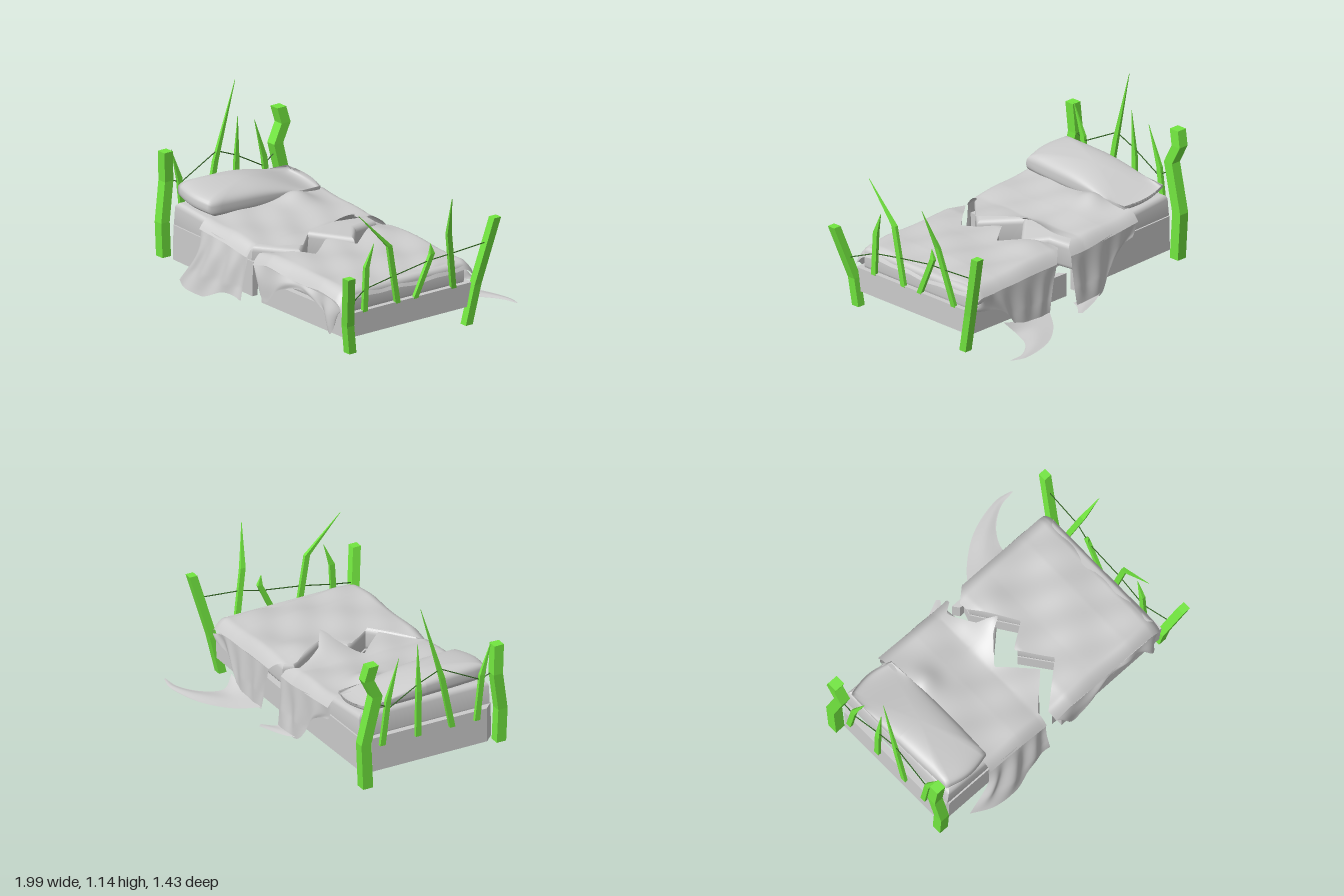
import * as THREE from 'three';
import { toCreasedNormals } from 'three/addons/utils/BufferGeometryUtils.js';

const grey = new THREE.MeshStandardMaterial({ color: 0xcccccc });
const clothMat = new THREE.MeshStandardMaterial({ color: 0xcccccc, side: THREE.DoubleSide });
const green = new THREE.MeshStandardMaterial({ color: 0x72e63f, flatShading: true });
const darkGreen = new THREE.MeshStandardMaterial({ color: 0x336622 });

const mesh = (name, geo, mat) => Object.assign(new THREE.Mesh(geo, mat), { name });
const bump = (x, z, cx, cz, r) => Math.exp(-((x - cx) ** 2 + (z - cz) ** 2) / (r * r));

// Piecewise linear lookup in [[t, value], ...]
function lookup(pts, t) {
  if (t <= pts[0][0]) return pts[0][1];
  for (let i = 1; i < pts.length; i++) {
    const [a, va] = pts[i - 1], [b, vb] = pts[i];
    if (t <= b) return va + (vb - va) * (t - a) / (b - a);
  }
  return pts[pts.length - 1][1];
}

// Smooth grid surface from a function of u, v in 0..1
function surface(nu, nv, fn) {
  const pos = [], idx = [];
  for (let j = 0; j <= nv; j++) for (let i = 0; i <= nu; i++) pos.push(...fn(i / nu, j / nv));
  for (let j = 0; j < nv; j++) for (let i = 0; i < nu; i++) {
    const a = j * (nu + 1) + i, b = a + nu + 1;
    idx.push(a, b, a + 1, b, b + 1, a + 1);
  }
  const g = new THREE.BufferGeometry();
  g.setAttribute('position', new THREE.Float32BufferAttribute(pos, 3));
  g.setIndex(idx);
  g.computeVertexNormals();
  return g;
}

// Hanging fabric through rows of control points, with soft folds growing downwards
function drape(name, rows, fold, waves) {
  const curves = rows.map(row => new THREE.CatmullRomCurve3(row.map(p => new THREE.Vector3(...p))));
  const geo = surface(48, 24, (u, v) => {
    const p = new THREE.CatmullRomCurve3(curves.map(c => c.getPoint(u))).getPoint(v);
    const y = Math.max(0.045, p.y);
    return [p.x, y, p.z + fold * Math.sin(u * waves * 6.28) * Math.sin(v * 2.2) * Math.min(1, (y - 0.04) * 8)];
  });
  return mesh(name, geo, clothMat);
}

// Flat outline in x, z raised between two heights
function slab(name, outline, y0, y1, bevel = 0) {
  const shape = new THREE.Shape(outline.map(p => new THREE.Vector2(...p)));
  const geo = new THREE.ExtrudeGeometry(shape, {
    depth: y1 - y0 - 2 * bevel, bevelEnabled: bevel > 0, bevelThickness: bevel,
    bevelSize: bevel, bevelOffset: -bevel, bevelSegments: 4,
  });
  geo.rotateX(Math.PI / 2).translate(0, y1 - bevel, 0);
  return mesh(name, toCreasedNormals(geo, 0.6), grey);
}

// Bent four-sided bar through points [x, y, z, half width x, half width z]
function bar(name, path) {
  const pos = [], idx = [], n = path.length;
  for (const [x, y, z, wx, wz = wx] of path)
    pos.push(x - wx, y, z - wz, x - wx, y, z + wz, x + wx, y, z + wz, x + wx, y, z - wz);
  for (let i = 0; i < n - 1; i++) for (let k = 0; k < 4; k++) {
    const a = i * 4 + k, b = i * 4 + (k + 1) % 4;
    idx.push(a, b, a + 4, b, b + 4, a + 4);
  }
  const t = (n - 1) * 4;
  idx.push(0, 2, 1, 0, 3, 2, t, t + 1, t + 2, t, t + 2, t + 3);
  const g = new THREE.BufferGeometry();
  g.setAttribute('position', new THREE.Float32BufferAttribute(pos, 3));
  g.setIndex(idx);
  const flat = g.toNonIndexed();
  flat.computeVertexNormals();
  return mesh(name, flat, green);
}

// Tapering blade: wide base, bend, pointed tip
const blade = (base, bend, tip) => bar('blade', [[...base, 0.011, 0.018], [...bend, 0.011, 0.017], [...tip, 0.001]]);

function wire(name, pts) {
  const path = new THREE.CurvePath();
  for (let i = 1; i < pts.length; i++)
    path.add(new THREE.LineCurve3(new THREE.Vector3(...pts[i - 1]), new THREE.Vector3(...pts[i])));
  return mesh(name, new THREE.TubeGeometry(path, 40, 0.0035, 5), darkGreen);
}

// Torn edges as [z, x]
const headTear = [[-0.38, 0.01], [-0.34, 0], [-0.29, -0.07], [-0.11, 0.01], [-0.04, 0.12], [0.01, 0.03], [0.15, -0.09], [0.35, 0.1], [0.54, -0.1], [0.64, -0.1]];
const footTear = [[-0.38, 0.14], [-0.29, 0.04], [-0.24, 0.04], [0.04, 0.23], [0.15, 0.07], [0.35, 0.22], [0.57, -0.04], [0.64, -0.03]];
const tearLine = (tear, zs, dx) => zs.map(z => [lookup(tear, z) + dx, z]);

// Upper part of a torn blanket, rounded down along its long sides
function blanketTop(name, xa, xb, z0, z1, height) {
  return mesh(name, surface(60, 100, (u, v) => {
    const z = z0 + (z1 - z0) * v, x = xa(z) + (xb(z) - xa(z)) * u;
    const e = Math.max(0, Math.abs(v - 0.5) * 2 - 0.84) / 0.16;
    const crease = 0.005 * Math.sin(13 * x + 9 * z) + 0.004 * Math.sin(23 * z - 11 * x);
    return [x, height(x, z) + crease - 0.065 * e * e, z];
  }), clothMat);
}

// Plump rounded block, flat below and domed towards the front
function pillow() {
  const g = new THREE.SphereGeometry(1, 56, 36), p = g.attributes.position;
  for (let i = 0; i < p.count; i++) {
    let x = p.getX(i), y = p.getY(i), z = p.getZ(i);
    const k = Math.pow(Math.hypot(x, z) / Math.max(Math.abs(x), Math.abs(z), 1e-6), 0.8);
    x *= k; z *= k;
    y = Math.sign(y) * Math.pow(Math.abs(y), 0.6);
    const top = 0.085 - 0.1 * Math.max(0, 0.25 - z) ** 2 + 0.012 * z;
    p.setXYZ(i, x * 0.175, (y > 0 ? y * top : y * 0.075) - x * 0.022 + 0.012 * z, z * 0.445);
  }
  g.computeVertexNormals();
  g.translate(-0.695, 0.53, 0.135);
  return mesh('pillow', g, grey);
}

export function createModel() {
  const model = new THREE.Group();

  // Head half: open frame, with the mattress sinking towards the break
  const headFrame = slab('headFrame', [[-0.1, 0.58], [-0.87, 0.58], [-0.93, 0.52], [-0.93, -0.27], [-0.87, -0.33], [-0.07, -0.33],
    [-0.07, -0.29], [-0.83, -0.29], [-0.89, -0.23], [-0.89, 0.48], [-0.83, 0.54], [-0.1, 0.54]], 0.105, 0.325);
  headFrame.rotation.z = -0.025;
  const headMattress = slab('headMattress', [[-0.9, -0.32], [-0.9, 0.57],
    ...tearLine(headTear, [0.57, 0.35, 0.15, -0.04, -0.15, -0.32], -0.05)], 0.225, 0.405, 0.035);
  headMattress.rotation.z = -0.1;
  model.add(headFrame, headMattress);

  // Foot half: rails, torn base panel and the other mattress piece
  model.add(slab('footFrame', [[0.03, -0.35], [0.85, -0.35], [0.85, 0.61], [0.03, 0.61], [0.03, 0.57],
    [0.81, 0.57], [0.81, -0.31], [0.06, -0.31]], 0.11, 0.26));
  const tornEnd = tearLine(footTear, [0.57, 0.35, 0.15, 0.04, -0.24, -0.31], 0.03);
  model.add(slab('footPanel', [[0.82, -0.31], [0.82, 0.57], ...tornEnd], 0.12, 0.25));
  model.add(slab('footMattress', [[0.82, -0.31], [0.82, 0.57], ...tornEnd], 0.24, 0.39, 0.035));

  // Snapped planks beneath the blanket tongues
  for (const [x, y, z, ry, rz] of [[-0.06, 0.23, 0.35, 0.1, 0.08], [-0.05, 0.26, -0.05, -0.1, -0.15]]) {
    const plank = mesh('brokenPlank', new THREE.BoxGeometry(0.18, 0.2, 0.09), grey);
    plank.position.set(x, y, z);
    plank.rotation.set(0.05, ry, rz);
    model.add(plank);
  }

  model.add(pillow());

  // Blanket on the head half
  model.add(blanketTop('headBlanket', () => -0.56, z => lookup(headTear, z), -0.37, 0.62, (x, z) =>
    lookup([[-0.56, 0.48], [-0.3, 0.455], [-0.12, 0.43], [0.1, 0.44]], x)
    + 0.11 * bump(x, z, 0.1, -0.05, 0.15) + 0.06 * bump(x, z, -0.48, -0.05, 0.1)));
  model.add(drape('headFrontDrape', [
    [[-0.56, 0.42, 0.6], [-0.45, 0.42, 0.61], [-0.33, 0.41, 0.61], [-0.2, 0.39, 0.61], [-0.1, 0.37, 0.61]],
    [[-0.58, 0.26, 0.62], [-0.48, 0.28, 0.65], [-0.35, 0.28, 0.65], [-0.22, 0.27, 0.64], [-0.11, 0.25, 0.63]],
    [[-0.74, 0.045, 0.63], [-0.6, 0.045, 0.7], [-0.42, 0.045, 0.71], [-0.25, 0.11, 0.67], [-0.11, 0.09, 0.66]]], 0.015, 3));
  model.add(drape('headBackDrape', [
    [[-0.56, 0.42, -0.35], [-0.4, 0.41, -0.36], [-0.25, 0.39, -0.37], [-0.1, 0.37, -0.37], [0.01, 0.37, -0.37]],
    [[-0.55, 0.35, -0.35], [-0.4, 0.31, -0.36], [-0.25, 0.22, -0.38], [-0.12, 0.2, -0.38], [0, 0.22, -0.38]],
    [[-0.53, 0.32, -0.35], [-0.38, 0.26, -0.36], [-0.23, 0.06, -0.39], [-0.13, 0.055, -0.4], [-0.01, 0.055, -0.4]]], 0.01, 3));
  model.add(drape('headTail', [
    [[-0.24, 0.07, -0.38], [-0.13, 0.06, -0.38], [-0.01, 0.06, -0.37]],
    [[-0.13, 0.05, -0.43], [-0.06, 0.055, -0.42], [0, 0.05, -0.41]],
    [[0.04, 0.05, -0.5], [0.05, 0.05, -0.49], [0.06, 0.05, -0.48]]], 0, 1));

  // Blanket on the foot half
  model.add(blanketTop('footBlanket', z => lookup(footTear, z), () => 0.83, -0.38, 0.63, (x, z) =>
    lookup([[-0.05, 0.4], [0.1, 0.425], [0.3, 0.415], [0.6, 0.41], [0.77, 0.395], [0.81, 0.375], [0.83, 0.335]], x)
    + 0.02 * bump(x, z, 0.18, -0.2, 0.12)));
  model.add(drape('footFrontDrape', [
    [[-0.03, 0.35, 0.62], [0.12, 0.36, 0.63], [0.3, 0.35, 0.63], [0.48, 0.345, 0.63], [0.63, 0.34, 0.63], [0.73, 0.33, 0.63], [0.83, 0.28, 0.62]],
    [[-0.02, 0.33, 0.63], [0.1, 0.25, 0.65], [0.3, 0.32, 0.645], [0.48, 0.33, 0.64], [0.63, 0.29, 0.64], [0.73, 0.24, 0.65], [0.82, 0.28, 0.62]],
    [[0.01, 0.3, 0.63], [0.1, 0.14, 0.65], [0.25, 0.26, 0.65], [0.48, 0.31, 0.64], [0.66, 0.24, 0.64], [0.745, 0.12, 0.65], [0.78, 0.28, 0.62]]], 0.008, 4));
  model.add(drape('footBackDrape', [
    [[0.14, 0.36, -0.38], [0.3, 0.35, -0.38], [0.5, 0.345, -0.38], [0.68, 0.335, -0.38], [0.83, 0.28, -0.37]],
    [[0.17, 0.24, -0.38], [0.31, 0.2, -0.39], [0.48, 0.2, -0.39], [0.65, 0.28, -0.38], [0.83, 0.27, -0.37]],
    [[0.21, 0.06, -0.39], [0.32, 0.05, -0.4], [0.46, 0.05, -0.4], [0.6, 0.2, -0.38], [0.82, 0.26, -0.37]]], 0.008, 4));
  model.add(drape('footTail', [
    [[0.21, 0.07, -0.39], [0.4, 0.08, -0.39], [0.59, 0.12, -0.38]],
    [[0.31, 0.05, -0.52], [0.43, 0.06, -0.48], [0.55, 0.055, -0.45]],
    [[0.5, 0.045, -0.66], [0.55, 0.055, -0.61], [0.6, 0.045, -0.57]],
    [[0.74, 0.045, -0.72], [0.74, 0.05, -0.7], [0.73, 0.045, -0.67]],
    [[0.84, 0.05, -0.7], [0.845, 0.05, -0.695], [0.85, 0.05, -0.69]]], 0, 1));

  // Crooked corner posts
  const post = (name, w, pts) => model.add(bar(name, pts.map(p => [...p, w])));
  post('headFrontPost', 0.032, [[-0.945, 0.13, 0.59], [-0.945, 0.35, 0.6], [-0.96, 0.6, 0.56], [-0.95, 0.79, 0.572]]);
  post('headBackPost', 0.034, [[-0.94, 0.05, -0.325], [-0.945, 0.35, -0.34], [-0.95, 0.66, -0.265], [-0.955, 0.78, -0.325], [-0.965, 0.88, -0.3]]);
  post('footFrontPost', 0.027, [[0.855, 0.02, 0.585], [0.865, 0.2, 0.61], [0.965, 0.54, 0.68]]);
  post('footBackPost', 0.026, [[0.845, 0, -0.31], [0.86, 0.25, -0.365], [0.91, 0.665, -0.475]]);

  // Blades along both ends
  for (const b of [
    [[0.84, 0.25, 0.465], [0.84, 0.53, 0.45], [0.85, 0.67, 0.4]],
    [[0.84, 0.25, 0.215], [0.85, 0.63, 0.285], [0.84, 0.865, 0.51]],
    [[0.84, 0.25, 0.08], [0.85, 0.51, -0.04], [0.85, 0.575, -0.03]],
    [[0.84, 0.25, -0.21], [0.9, 0.63, -0.13], [0.99, 0.885, -0.085]],
    [[-0.94, 0.3, 0.27], [-0.94, 0.65, 0.2], [-0.92, 1.14, 0.065]],
    [[-0.94, 0.3, 0.035], [-0.94, 0.6, 0.04], [-0.92, 0.905, 0.045]],
    [[-0.94, 0.3, 0.44], [-0.94, 0.6, 0.475], [-0.93, 0.8, 0.545]],
    [[-0.94, 0.3, -0.21], [-0.94, 0.6, -0.17], [-0.93, 0.85, -0.09]],
  ]) model.add(blade(...b));

  // Wires strung between posts and blades
  model.add(wire('headWire', [[-0.95, 0.61, 0.56], [-0.94, 0.57, 0.46], [-0.94, 0.71, 0.19], [-0.94, 0.65, 0.04], [-0.94, 0.54, -0.16], [-0.95, 0.61, -0.28]]));
  model.add(wire('footWire', [[0.9, 0.33, 0.63], [0.84, 0.39, 0.46], [0.85, 0.43, 0.25], [0.85, 0.47, -0.02], [0.88, 0.49, -0.16], [0.89, 0.51, -0.43]]));

  return model;
}
